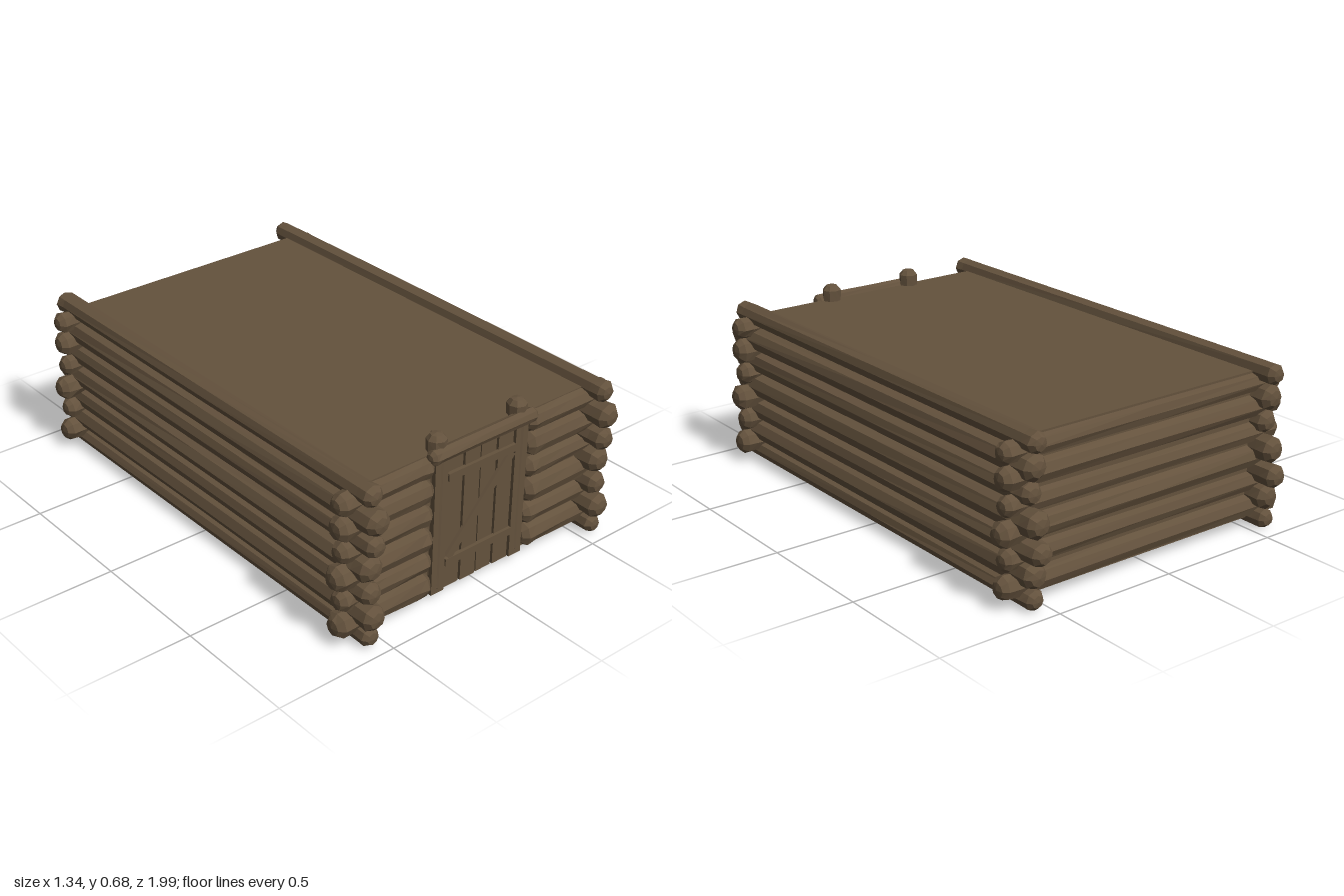
import * as THREE from 'three';

const SIDES = 8;

// Repeatable value in -1..1 for the hewn unevenness
function noise(a, b, c) {
  const s = Math.sin(a * 12.99 + b * 78.23 + c * 37.72) * 43758.5453;
  return (s - Math.floor(s)) * 2 - 1;
}

// Uneven eight-sided log along y, with chamfered ends
function logGeometry(length, r, seed, rough = 0.07) {
  const h = length / 2, c = Math.min(0.028, r * 0.6);
  const profile = [
    [0, -h], [r * 0.62, -h + c * 0.2], [r, -h + c], [r * 0.98, -h + c * 2.6],
    [r * 0.95, 0],
    [r * 0.98, h - c * 2.6], [r, h - c], [r * 0.62, h - c * 0.2], [0, h],
  ].map(([x, y]) => new THREE.Vector2(x, y));
  const geo = new THREE.LatheGeometry(profile, SIDES);
  const pos = geo.attributes.position, n = profile.length;
  for (let i = 0; i < pos.count; i++) {
    const ring = i % n, side = Math.floor(i / n) % SIDES;
    const k = 1 + rough * noise(side, ring, seed);
    pos.setX(i, pos.getX(i) * k);
    pos.setZ(i, pos.getZ(i) * k);
  }
  return geo;
}

export function createModel() {
  const model = new THREE.Group();
  model.name = 'logCabin';
  const wood = new THREE.MeshStandardMaterial({ color: 0x64523d, flatShading: true });
  wood.name = 'brownWood';

  function add(parent, name, geo, x, y, z) {
    const mesh = new THREE.Mesh(geo, wood);
    mesh.name = name;
    mesh.position.set(x, y, z);
    parent.add(mesh);
    return mesh;
  }
  function group(name) {
    const g = new THREE.Group();
    g.name = name;
    model.add(g);
    return g;
  }
  function logX(parent, name, x0, x1, y, z, r, seed) {
    add(parent, name, logGeometry(x1 - x0, r, seed), (x0 + x1) / 2, y, z).rotation.z = -Math.PI / 2;
  }
  function logZ(parent, name, x, y, z0, z1, r, seed) {
    add(parent, name, logGeometry(z1 - z0, r, seed), x, y, (z0 + z1) / 2).rotation.x = Math.PI / 2;
  }

  // Solid body closing the roof, floor and gaps between logs
  add(model, 'roofAndFloorBlock', new THREE.BoxGeometry(1.1, 0.582, 1.73), 0, 0.322, 0);

  // Side walls: [y, radius, back end, front end]
  const sideLogs = [
    [0.04, 0.038, -0.955, 0.96], [0.13, 0.05, -0.96, 0.985], [0.22, 0.045, -0.995, 0.965],
    [0.32, 0.051, -0.975, 0.965], [0.42, 0.044, -0.935, 0.985], [0.52, 0.05, -0.955, 0.995],
    [0.611, 0.041, -0.965, 0.965],
  ];
  for (const s of [-1, 1]) {
    const wall = group(s > 0 ? 'leftWall' : 'rightWall');
    sideLogs.forEach(([y, r, z0, z1], i) => logZ(wall, 'sideLog', s * 0.556, y, z0, z1, r, i + s * 10));
  }

  // End walls: [y, radius, half length]; the front is split by the door
  const crossLogs = [
    [0.083, 0.05, 0.665], [0.18, 0.045, 0.65], [0.278, 0.051, 0.672],
    [0.375, 0.044, 0.648], [0.475, 0.05, 0.658], [0.568, 0.044, 0.655],
  ];
  const front = group('frontWall'), back = group('backWall');
  crossLogs.forEach(([y, r, half], i) => {
    logX(back, 'backLog', -half, half, y, -0.86, r * 0.93, i + 30);
    logX(front, 'frontLogRight', -half, -0.225, y, 0.86, r, i + 40);
    logX(front, 'frontLogLeft', 0.225, half, y, 0.86, r, i + 50);
  });

  // Door frame: two posts and a lintel
  const door = group('door');
  for (const s of [-1, 1]) {
    add(door, 'doorPost', logGeometry(0.65, 0.038, s + 60, 0.04), s * 0.194, 0.355, 0.853);
    add(door, 'doorJamb', new THREE.BoxGeometry(0.06, 0.55, 0.03), s * 0.194, 0.305, 0.872);
  }
  logX(door, 'doorLintel', -0.255, 0.258, 0.607, 0.884, 0.029, 70);

  // Door leaf: four planks over a recessed panel
  for (let i = 0; i < 4; i++) {
    add(door, 'doorPlank', new THREE.BoxGeometry(0.073, 0.55, 0.02), -0.1215 + i * 0.081, 0.305, 0.867 + (i % 2) * 0.003);
  }

  // Door battens and diagonal brace
  for (const y of [0.147, 0.502]) {
    add(door, 'doorBatten', new THREE.BoxGeometry(0.325, 0.03, 0.016), 0, y, 0.884);
  }
  const brace = add(door, 'doorBrace', new THREE.BoxGeometry(0.44, 0.032, 0.014), 0, 0.325, 0.884);
  brace.rotation.z = Math.atan2(0.325, 0.3);

  return model;
}
